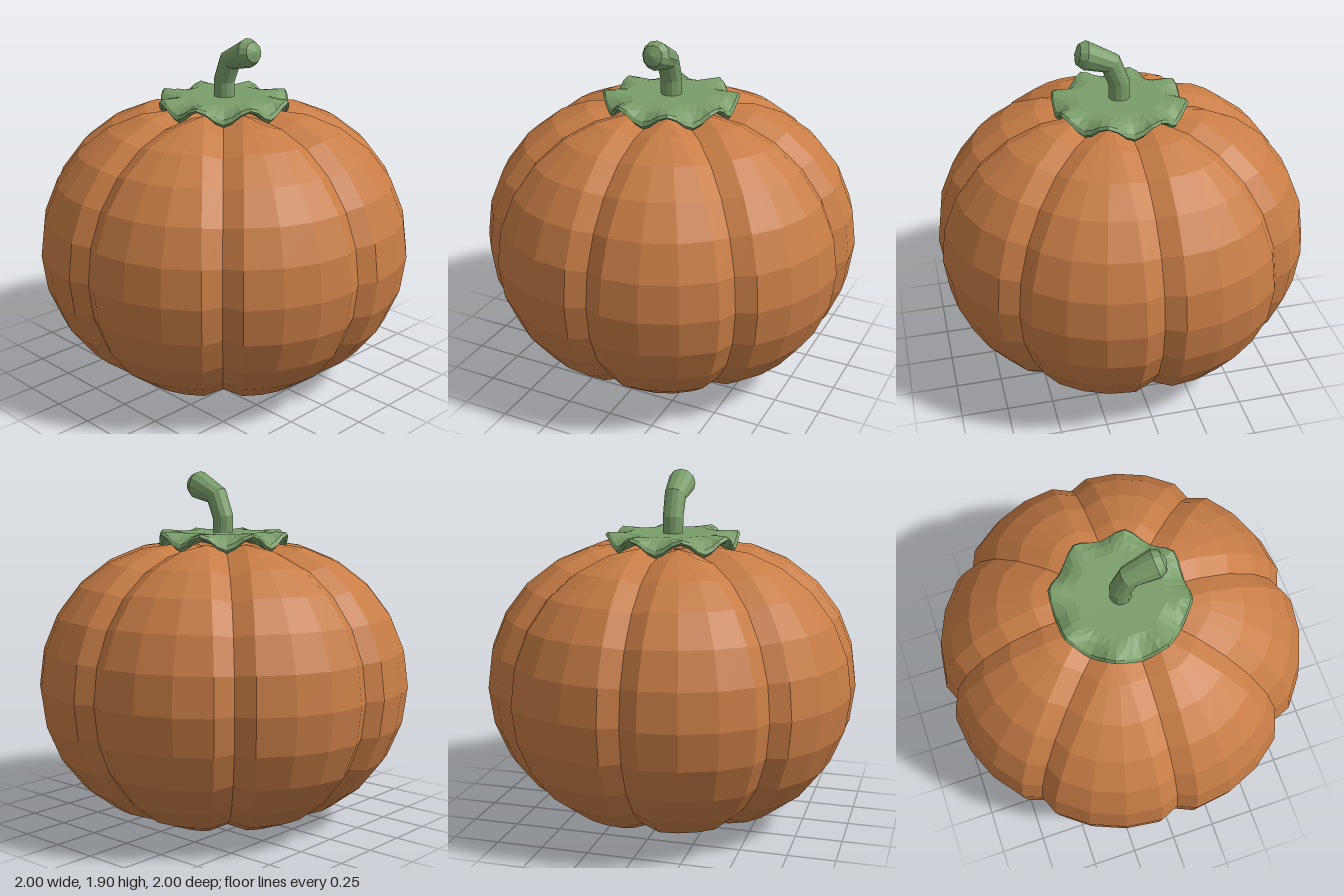
import * as THREE from 'three';

// Flat-shaded skin over a stack of closed rings (arrays of [x, y, z]).
function skin(rings, color, name) {
  const pos = [], n = rings[0].length;
  const tri = (a, b, c) => {
    const same = (p, q) => Math.hypot(p[0] - q[0], p[1] - q[1], p[2] - q[2]) < 1e-6;
    if (!same(a, b) && !same(b, c) && !same(a, c)) pos.push(...a, ...b, ...c);
  };
  for (let i = 0; i < rings.length - 1; i++) {
    for (let j = 0; j < n; j++) {
      const k = (j + 1) % n;
      tri(rings[i][j], rings[i + 1][j], rings[i][k]);
      tri(rings[i + 1][j], rings[i + 1][k], rings[i][k]);
    }
  }
  const geometry = new THREE.BufferGeometry();
  geometry.setAttribute('position', new THREE.Float32BufferAttribute(pos, 3));
  geometry.computeVertexNormals();
  const mesh = new THREE.Mesh(geometry, new THREE.MeshStandardMaterial({ color, flatShading: true }));
  mesh.name = name;
  return mesh;
}

const ring = (n, point) => Array.from({ length: n }, (_, j) => point((j / n) * Math.PI * 2));

// Eight sphere wedges pushed out from the axis, joined by sunken grooves.
function createBody() {
  const step = Math.PI / 4, midY = 0.77, radius = 0.76, push = 0.26;
  const rings = [ring(40, () => [0, 0.05, 0])];
  for (let i = 0; i <= 12; i++) {
    const lat = (i / 12 - 0.5) * Math.PI;
    const c = Math.cos(lat), s = Math.sin(lat), points = [];
    for (let lobe = 0; lobe < 8; lobe++) {
      const start = lobe * step, middle = start + step / 2;
      const groove = 0.235 + 0.722 * c;
      points.push([groove * Math.cos(start), midY + 0.727 * s, groove * Math.sin(start)]);
      for (let j = 0; j <= 3; j++) {
        const a = start + (j / 3) * step;
        points.push([
          push * Math.cos(middle) + radius * c * Math.cos(a),
          midY + radius * s,
          push * Math.sin(middle) + radius * c * Math.sin(a),
        ]);
      }
    }
    rings.push(points);
  }
  rings.push(ring(40, () => [0, 1.49, 0]));
  return skin(rings, 0xc87d46, 'body');
}

// Octagonal leaf cap whose eight tips droop into the grooves.
function createLeafCap() {
  const step = Math.PI / 4;
  // Each entry: share of the outer radius, share of the droop, base height.
  const profile = [
    [0, 0, 1.5], [0.5, 0, 1.545], [0.75, 0.35, 1.55], [0.96, 1, 1.565],
    [1, 0.95, 1.577], [0.97, 0.8, 1.59], [0.82, 0.3, 1.59], [0.65, 0, 1.586], [0, 0, 1.58],
  ];
  const rings = profile.map(([share, droop, y]) => ring(48, (a) => {
    const off = Math.abs(a - Math.round(a / step) * step);
    const r = share * Math.min(0.345 / Math.cos(off), 0.366);
    const tip = (1 + Math.cos(off * 8)) / 2;
    return [r * Math.cos(a), y - 0.075 * droop * tip, r * Math.sin(a)];
  }));
  return skin(rings, 0x7a9d6a, 'leafCap');
}

// Bent stem, widening to a rounded cut end.
function createStem() {
  // Each entry: centre x, centre y, radius, lean from upright in degrees.
  const sections = [
    [0, 1.53, 0.056, 0], [0, 1.665, 0.057, 8], [0.045, 1.778, 0.06, 42],
    [0.18, 1.836, 0.077, 77], [0.217, 1.843, 0.055, 77], [0.235, 1.846, 0, 77],
  ];
  const rings = sections.map(([x, y, r, lean]) => {
    const t = THREE.MathUtils.degToRad(lean);
    return ring(12, (a) => [
      x + r * Math.cos(a) * Math.cos(t),
      y - r * Math.cos(a) * Math.sin(t),
      r * Math.sin(a),
    ]);
  });
  return skin(rings, 0x7a9d6a, 'stem');
}

export function createModel() {
  const model = new THREE.Group();
  model.name = 'pumpkin';
  model.add(createBody(), createLeafCap(), createStem());
  return model;
}
